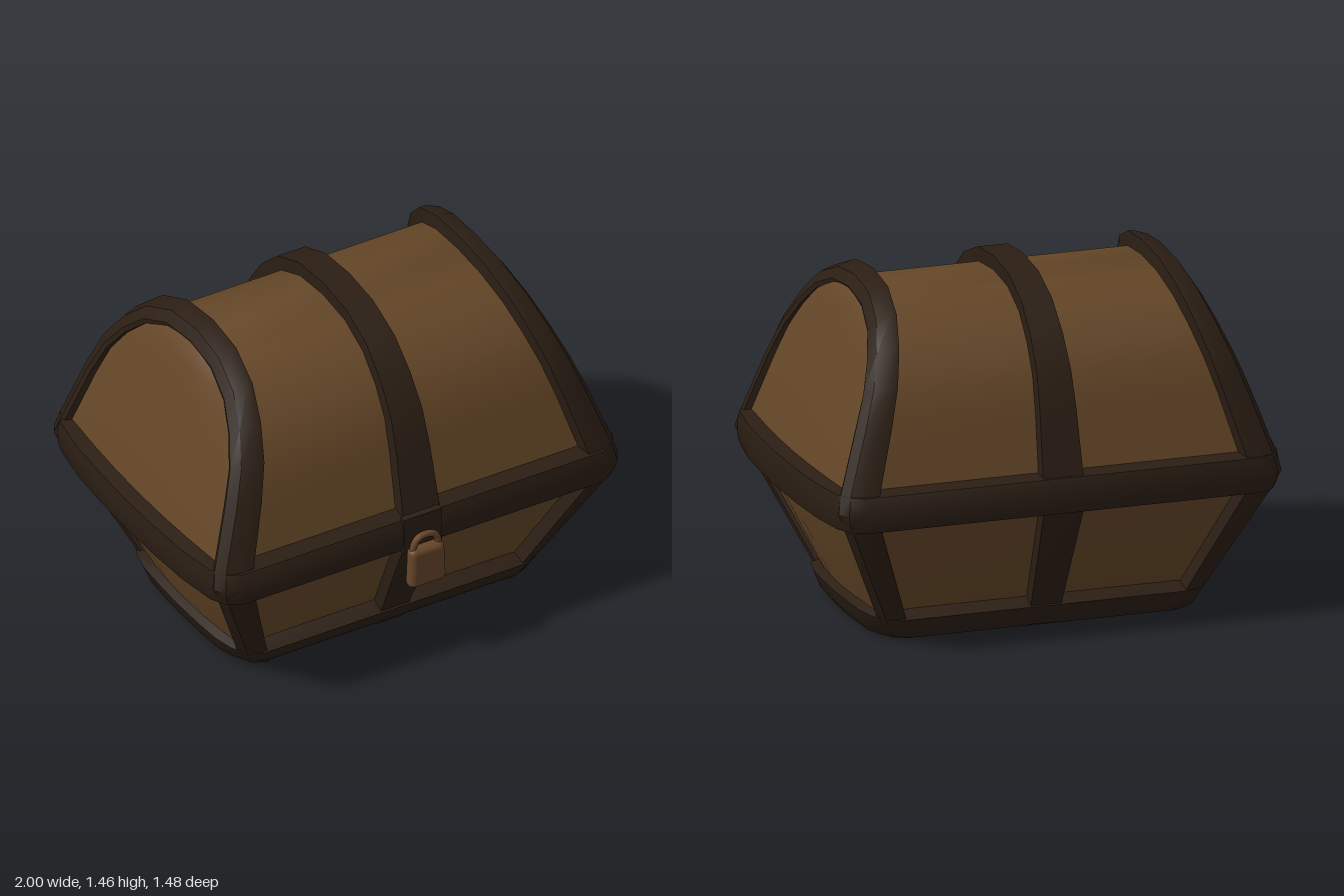
import * as THREE from 'three';
import { toCreasedNormals } from 'three/addons/utils/BufferGeometryUtils.js';
import { RoundedBoxGeometry } from 'three/addons/geometries/RoundedBoxGeometry.js';

const ZC = -0.025; // depth centre of the chest

// Half of the side outline: [half depth, height]
const HALF = [[0.43, 0.01], [0.70, 0.58], [0.71, 0.64], [0.685, 0.72], [0.622, 0.98],
  [0.57, 1.13], [0.48, 1.26], [0.36, 1.37], [0.195, 1.44], [0, 1.46]];
const SEAM = 2;

// Half width of the chest at a given height
const WIDTH = [[0, 0.67], [0.56, 0.94], [0.64, 0.955], [0.72, 0.94], [1.46, 0.69]];
function halfWidth(y) {
  let i = 0;
  while (i < WIDTH.length - 2 && y > WIDTH[i + 1][0]) i++;
  const [a, b] = [WIDTH[i], WIDTH[i + 1]];
  return a[1] + (b[1] - a[1]) * (y - a[0]) / (b[0] - a[0]);
}

// Whole outline, front bottom over the top to back bottom, with outward normals
const OUTLINE = [...HALF, ...HALF.slice(0, -1).reverse().map(([w, y]) => [-w, y])];
const STATIONS = OUTLINE.map(([z, y], i) => {
  const a = OUTLINE[Math.max(i - 1, 0)], b = OUTLINE[Math.min(i + 1, OUTLINE.length - 1)];
  const dz = b[0] - a[0], dy = b[1] - a[1], l = Math.hypot(dz, dy);
  return { z, y, nz: dy / l, ny: -dz / l };
});
const inset = (s, k) => [s.z - s.nz * k, s.y - s.ny * k];

// Skin a list of point rings
function loft(rings, closed) {
  const n = rings[0].length, index = [];
  for (let i = 0; i < rings.length - 1; i++) {
    for (let j = 0; j < (closed ? n : n - 1); j++) {
      const a = i * n + j, b = i * n + (j + 1) % n;
      index.push(a, b, b + n, a, b + n, a + n);
    }
  }
  const g = new THREE.BufferGeometry();
  g.setAttribute('position', new THREE.Float32BufferAttribute(rings.flat(2), 3));
  g.setIndex(index);
  return toCreasedNormals(g, 0.6);
}

// Horizontal ring: straight front and back, bulging ends, optional rounded corners
function planRing(y, x, w, bulge, corner = 0) {
  const half = corner
    ? [[x - corner, w], [x - corner * 0.4, w - corner * 0.3], [x, w - corner]]
    : [[x, w]];
  for (const t of [0.6, 0.3]) half.push([x + bulge * (1 - t * t), w * t]);
  const right = [...half, [x + bulge, 0], ...half.map(([px, z]) => [px, -z]).reverse()];
  const left = right.map(([px, z]) => [-px, z]).reverse();
  return [...right, ...left].map(([px, z]) => [px, y, z + ZC]);
}

export function createModel() {
  const group = new THREE.Group();
  const mat = (color) => new THREE.MeshStandardMaterial({ color, side: THREE.DoubleSide });
  const wood = mat(0x644627), trim = mat(0x2b1e14), lockMetal = mat(0x68462a);
  const add = (name, geometry, material) => {
    const mesh = new THREE.Mesh(geometry, material);
    mesh.name = name;
    group.add(mesh);
    return mesh;
  };

  // Wooden panels, set in behind the trim
  const rows = STATIONS.slice(0, HALF.length).map((s) => {
    const [w, y] = inset(s, 0.06);
    return planRing(y, halfWidth(y) - 0.04, w, 0.035 * Math.min(1, w / 0.3));
  });
  const floor = planRing(rows[0][0][1], 0.3, 0, 0);
  add('bodyPanels', loft([floor, ...rows.slice(0, SEAM + 1)], true), wood);
  add('lidPanels', loft(rows.slice(SEAM), true), wood);

  // Trim along both end edges, wrapping from front or back onto the end
  for (const side of [1, -1]) {
    const rings = STATIONS.map((s) => {
      const x = halfWidth(s.y);
      const section = [[x * 0.83, 0.065], [x * 0.84, 0], [x - 0.09, 0], [x - 0.03, 0.02],
        [x, 0.065], [x - 0.005, 0.085], [x - 0.06, 0.11]].map(([px, k]) => {
        const [z, y] = inset(s, k);
        return [side * px, y, z + ZC];
      });
      return side > 0 ? section : section.reverse();
    });
    add(side > 0 ? 'leftEdgeTrim' : 'rightEdgeTrim', loft(rings, false), trim);
  }

  // Middle strap over front, lid and back
  const strap = STATIONS.map((s) => {
    const x = halfWidth(s.y) * 0.092;
    return [[-x, 0.07], [-x, 0], [x, 0], [x, 0.07]].map(([px, k]) => {
      const [z, y] = inset(s, k);
      return [px, y, z + ZC];
    });
  });
  add('middleStrap', loft(strap, false), trim);

  // Bands around the seam and the base: [height, half width, half depth]
  const band = (name, profile, bulge) => add(name,
    loft(profile.map(([y, x, w]) => planRing(y, x, w, bulge, 0.1)), true), trim);
  band('seamBand', [[0.555, 0.88, 0.62], [0.56, 0.945, 0.70], [0.60, 0.955, 0.712],
    [0.66, 0.955, 0.714], [0.71, 0.95, 0.70], [0.72, 0.88, 0.62]], 0.045);
  band('baseBand', [[0.045, 0.57, 0.32], [0, 0.62, 0.36], [0, 0.67, 0.41],
    [0.03, 0.695, 0.445], [0.10, 0.72, 0.482], [0.13, 0.67, 0.42]], 0.032);

  // Hasp plate and padlock
  const hasp = add('haspPlate', new THREE.BoxGeometry(0.18, 0.17, 0.03), trim);
  hasp.position.set(-0.01, 0.635, 0.678);
  const body = new RoundedBoxGeometry(0.175, 0.19, 0.06, 3, 0.028);
  const p = body.attributes.position;
  for (let i = 0; i < p.count; i++) { // narrower shoulders
    if (p.getY(i) > 0.05) p.setX(i, p.getX(i) * 0.93);
  }
  const lock = add('padlockBody', body, lockMetal);
  lock.position.set(-0.01, 0.49, 0.714);
  const bow = new THREE.CatmullRomCurve3([[-0.062, 0.56], [-0.055, 0.60], [-0.03, 0.63],
    [0.03, 0.63], [0.055, 0.60], [0.062, 0.56]].map(([x, y]) => new THREE.Vector3(x - 0.01, y, 0.714)));
  add('padlockShackle', new THREE.TubeGeometry(bow, 20, 0.015, 8), lockMetal);

  return group;
}
